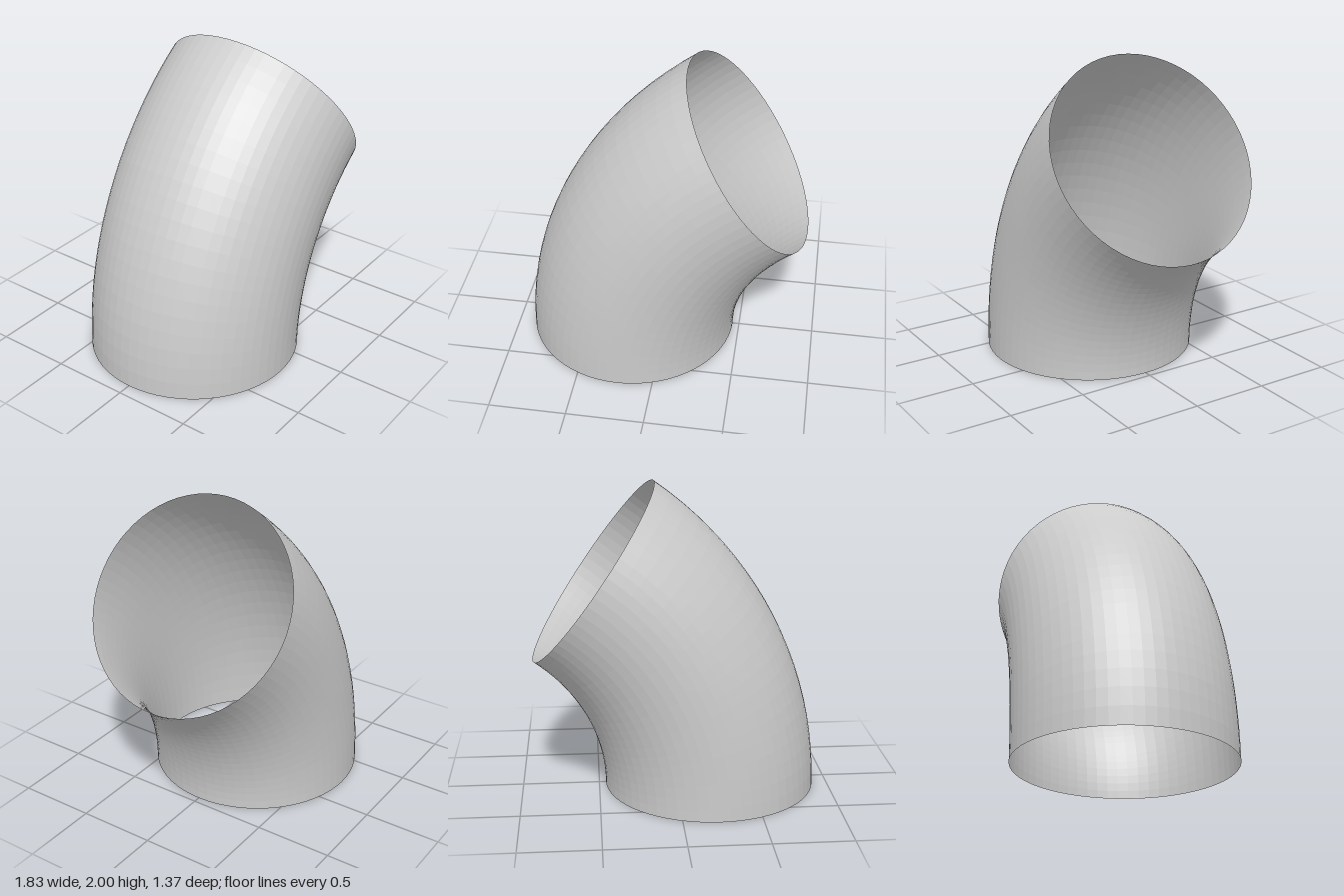
import * as THREE from 'three';

export function createModel() {
  const group = new THREE.Group();
  group.name = 'pipeElbow';

  const bendRadius = 1.757;
  const pipeRadius = 0.685;
  const bendAngle = THREE.MathUtils.degToRad(55);

  // Open, thin-walled pipe bend: a torus arc that ends level on the ground
  const geometry = new THREE.TorusGeometry(bendRadius, pipeRadius, 64, 20, bendAngle);
  geometry.rotateZ(Math.PI - bendAngle);
  geometry.translate(1.528, 0, 0);

  const material = new THREE.MeshStandardMaterial({
    color: 0xcccccc,
    flatShading: true,
    side: THREE.DoubleSide,
  });
  const elbow = new THREE.Mesh(geometry, material);
  elbow.name = 'elbowShell';
  group.add(elbow);

  return group;
}
